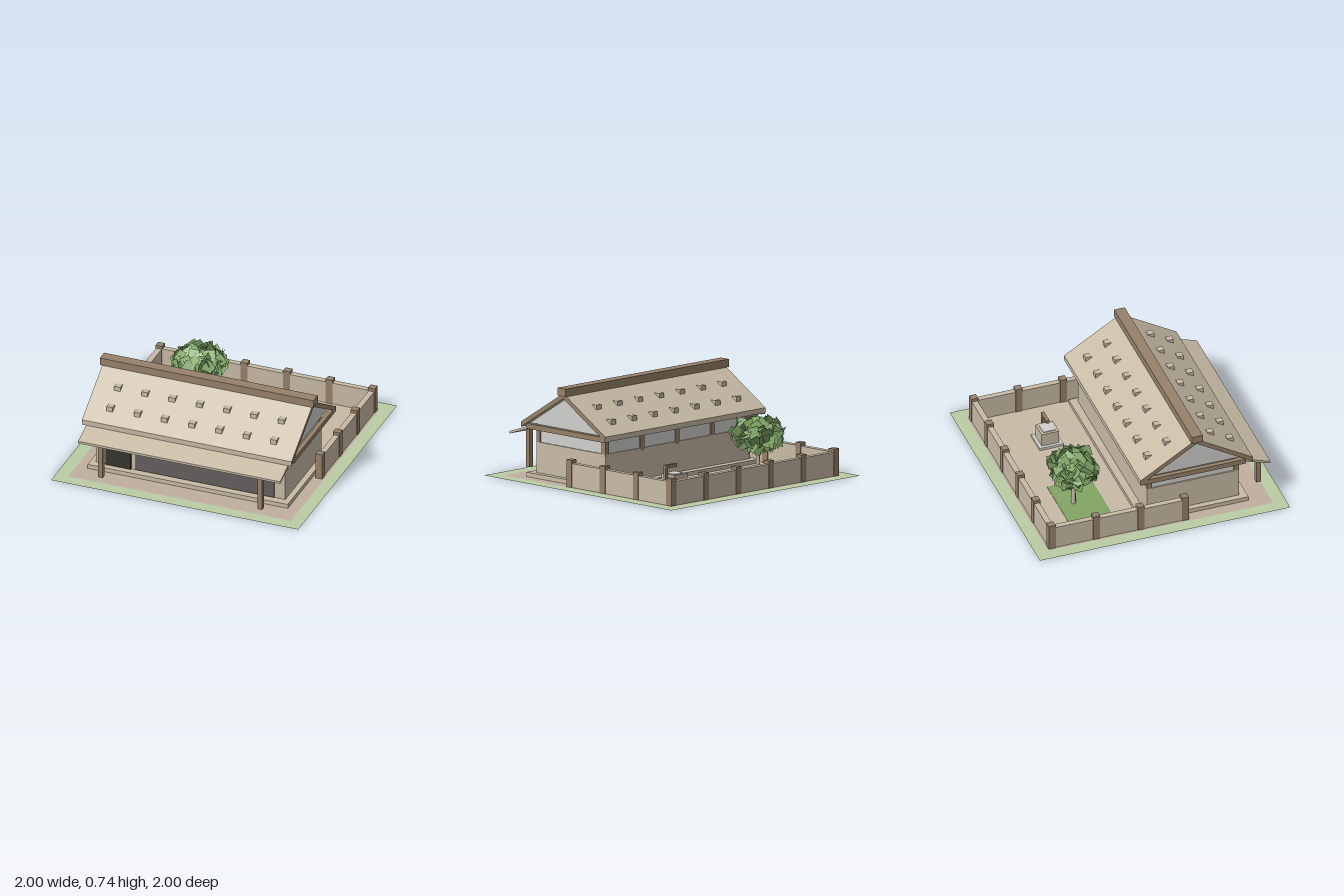
import * as THREE from 'three';

const mat = (name, color, side = THREE.FrontSide) => {
  const m = new THREE.MeshStandardMaterial({ color, side });
  m.name = name;
  return m;
};

export function createModel() {
  const root = new THREE.Group();
  root.name = 'courtyardHouse';
  const D = THREE.DoubleSide;
  const plaster = mat('plaster', 0xc8bba6);
  const timber = mat('timber', 0x96816a);
  const glass = mat('paleGlass', 0xcfd0ce);
  const dark = mat('darkOpening', 0x35362f);
  const panel = mat('greyPanel', 0x645f5d);
  const leaf = mat('leaf', 0x82a868, D);
  const lawnGreen = mat('lawnGreen', 0x82a466);
  const grass = mat('paleGrass', 0xbacca4, D);
  const paving = mat('paving', 0xbfafa0, D);

  const add = (name, geo, material, parent = root) => {
    const m = new THREE.Mesh(geo, material);
    m.name = name;
    parent.add(m);
    return m;
  };
  // Box given by its extents
  const box = (name, material, x0, x1, y0, y1, z0, z1, parent) => {
    const g = new THREE.BoxGeometry(x1 - x0, y1 - y0, z1 - z0);
    g.translate((x0 + x1) / 2, (y0 + y1) / 2, (z0 + z1) / 2);
    return add(name, g, material, parent);
  };
  const group = (name) => {
    const g = new THREE.Group();
    g.name = name;
    root.add(g);
    return g;
  };

  // Ground: grass border around paving, with a courtyard floor and a lawn
  const square = (C, r) => new C([[-r, -r], [r, -r], [r, r], [-r, r]].map(([x, y]) => new THREE.Vector2(x, y)));
  const border = square(THREE.Shape, 1);
  border.holes.push(square(THREE.Path, 0.9));
  add('grassBorder', new THREE.ShapeGeometry(border).rotateX(-Math.PI / 2), grass);
  add('yardPaving', new THREE.PlaneGeometry(1.8, 1.8).rotateX(-Math.PI / 2), paving);
  box('courtyardFloor', plaster, -0.86, 0.86, 0.001, 0.005, -0.86, 0.205);
  box('lawn', lawnGreen, -0.64, -0.145, 0.004, 0.009, -0.635, -0.29);

  // Courtyard walls and posts
  const yard = group('courtyardWall');
  const W = 0.86, t = 0.022, p = 0.0275;
  const yardPost = (x, z) => box('wallPost', timber, x - p, x + p, 0.001, 0.21, z - p, z + p, yard);
  box('backWall', plaster, -W, W, 0.001, 0.185, -W - t, -W + t, yard);
  for (const s of [-1, 1]) {
    box('sideWall', plaster, s * W - t, s * W + t, 0.001, 0.185, -W, 0.205, yard);
    for (const z of [-0.505, -0.15, 0.205]) yardPost(s * W, z);
  }
  for (let i = 0; i < 6; i++) yardPost(-W + i * 0.344, -W);

  // House body
  const house = group('house');
  const mid = 0.307;
  box('platform', plaster, -0.81, 0.81, 0.001, 0.035, -0.12, 0.735, house);
  box('walls', plaster, -0.765, 0.765, 0.03, 0.27, -0.06, 0.675, house);
  box('clerestory', glass, -0.755, 0.755, 0.27, 0.38, -0.05, 0.665, house);
  box('wallPlate', timber, -0.765, 0.765, 0.375, 0.418, -0.06, 0.675, house);
  for (const x of [-0.745, -0.3725, 0, 0.3725, 0.745])
    for (const z of [-0.04, 0.655])
      box('wallPost', timber, x - 0.02, x + 0.02, 0.25, 0.38, z - 0.02, z + 0.02, house);

  // Front door and long window
  box('door', dark, -0.685, -0.48, 0.036, 0.375, 0.67, 0.69, house);
  box('windowUpper', dark, -0.44, 0.68, 0.18, 0.375, 0.67, 0.69, house);
  box('windowLower', panel, -0.44, 0.68, 0.045, 0.18, 0.67, 0.693, house);

  // Extrude a (z, y) outline across x
  const across = (pts, half) => {
    const s = new THREE.Shape(pts.map(([z, y]) => new THREE.Vector2(-z, y)));
    return new THREE.ExtrudeGeometry(s, { depth: half * 2, bevelEnabled: false })
      .translate(0, 0, -half).rotateY(Math.PI / 2);
  };

  // Main roof with timber verges, gables, tie beams and ridge
  const roof = group('roof');
  const e = 0.449;
  add('roofSlopes', across([[mid - e, 0.425], [mid, 0.7], [mid + e, 0.425],
    [mid + e, 0.385], [mid, 0.66], [mid - e, 0.385]], 0.848), [timber, plaster], roof);
  add('gables', across([[mid - 0.4, 0.415], [mid, 0.66], [mid + 0.4, 0.415]], 0.8), glass, roof);
  for (const s of [-1, 1])
    box('tieBeam', timber, s * 0.828 - 0.018, s * 0.828 + 0.018, 0.378, 0.418, -0.138, 0.7, roof);
  box('ridgeBeam', timber, -0.865, 0.865, 0.68, 0.74, 0.264, 0.35, roof);

  // Two rows of small roof blocks on each slope
  for (let i = 0; i < 7; i++)
    for (const s of [-1, 1])
      for (const [d, top] of [[0.172, 0.615], [0.327, 0.523]]) {
        const x = (i - 3) * 0.221, z = mid + s * d;
        box('roofBlock', plaster, x - 0.025, x + 0.025, top - 0.05, top, z - 0.025, z + 0.025, roof);
      }

  // Porch roof and posts
  add('porchRoof', across([[0.63, 0.42], [0.908, 0.327], [0.908, 0.309], [0.63, 0.398]], 0.817), plaster, roof);
  for (const s of [-1, 1])
    box('porchPost', timber, s * 0.645 - 0.018, s * 0.645 + 0.018, 0.038, 0.325, 0.85, 0.888, roof);

  // Well
  const well = group('well');
  const wx = 0.405, wz = -0.435;
  const slab = (name, m, h, y0, y1) => box(name, m, wx - h, wx + h, y0, y1, wz - h, wz + h, well);
  slab('wellBase', glass, 0.095, 0.001, 0.025);
  slab('wellBody', plaster, 0.07, 0.02, 0.13);
  slab('wellCover', glass, 0.05, 0.13, 0.135);
  box('wellPost', timber, 0.485, 0.51, 0.005, 0.19, wz - 0.012, wz + 0.012, well);
  box('wellArm', timber, 0.39, 0.51, 0.18, 0.205, wz - 0.013, wz + 0.013, well);

  // Tree: trunk, three branches and a crown of leaf cards
  const tree = group('tree');
  tree.position.set(-0.4, 0, -0.515);
  const limb = (name, a, b, r0, r1) => {
    const from = new THREE.Vector3(...a), dir = new THREE.Vector3(...b).sub(from);
    const m = add(name, new THREE.CylinderGeometry(r1, r0, dir.length(), 6), plaster, tree);
    m.position.copy(from).addScaledVector(dir, 0.5);
    m.quaternion.setFromUnitVectors(new THREE.Vector3(0, 1, 0), dir.normalize());
  };
  limb('trunk', [0, 0.005, 0], [0, 0.2, 0], 0.02, 0.014);
  for (let i = 0; i < 3; i++) {
    const a = i * 2.1 + 0.4;
    limb('branch', [0, 0.16, 0], [0.09 * Math.cos(a), 0.3, 0.09 * Math.sin(a)], 0.012, 0.006);
  }
  let seed = 7;
  const rnd = () => (seed = (seed * 16807) % 2147483647) / 2147483647;
  const card = new THREE.PlaneGeometry(0.085, 0.085);
  for (let i = 0; i < 120; i++) {
    const a = i * 2.39996, v = 1 - 2 * (i + 0.5) / 120;
    const h = Math.sqrt(1 - v * v), r = 0.7 + 0.3 * rnd();
    const m = add('leafCard', card, leaf, tree);
    m.position.set(Math.cos(a) * h * r * 0.2, 0.335 + v * r * 0.12, Math.sin(a) * h * r * 0.185);
    // Cards face roughly outward with a random tilt
    m.lookAt(m.position.clone().multiplyScalar(2).sub(new THREE.Vector3(0, 0.335, 0)).add(tree.position));
    m.rotateX((rnd() - 0.5) * 1.6);
    m.rotateY((rnd() - 0.5) * 1.6);
    m.rotateZ(rnd() * 3);
  }
  return root;
}
